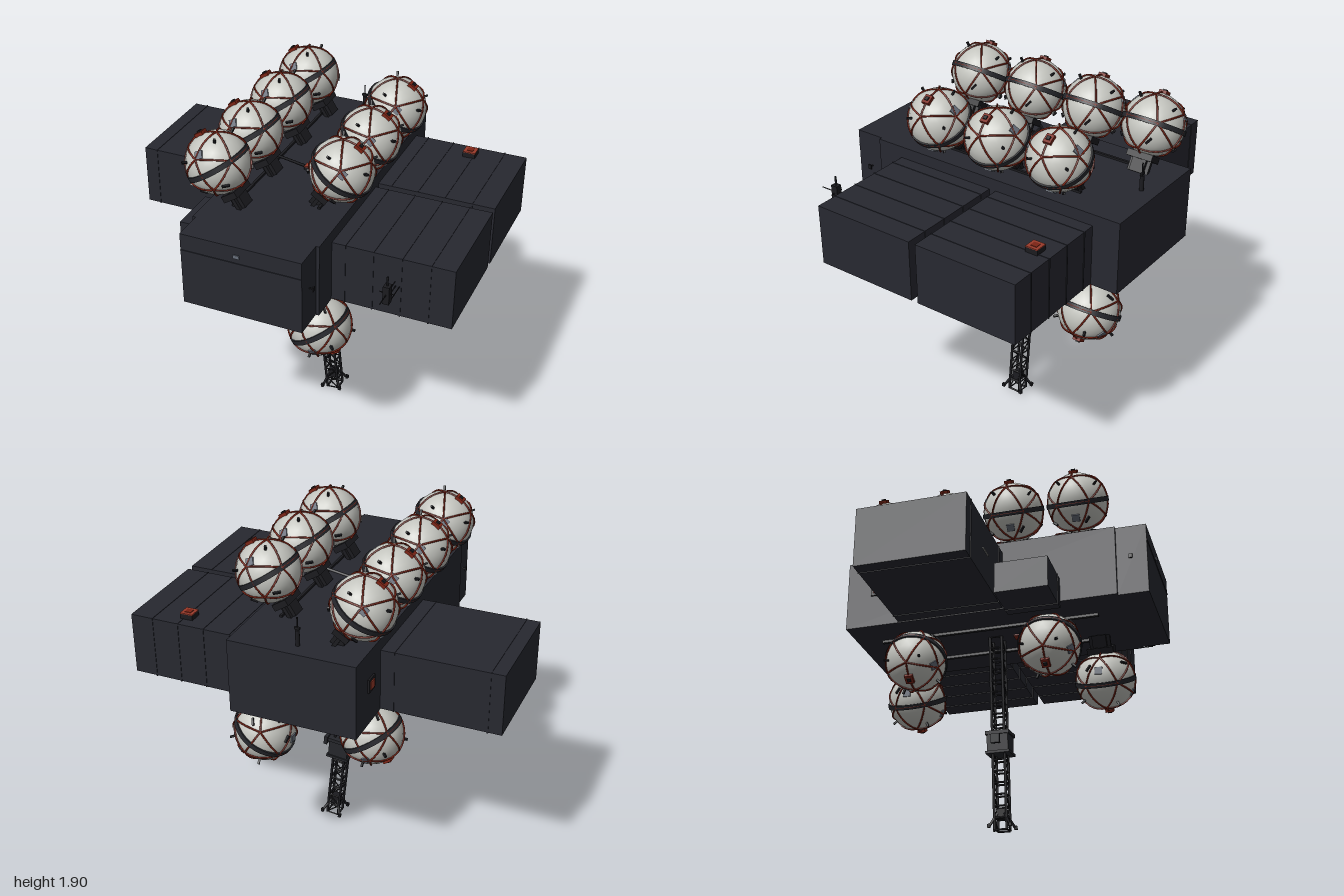
import * as THREE from 'three';
import { mergeGeometries } from 'three/addons/utils/BufferGeometryUtils.js';

const mat = (name, color) => {
  const m = new THREE.MeshStandardMaterial({ color });
  m.name = name;
  return m;
};
const V = (x, y, z) => new THREE.Vector3(x, y, z);

export function createModel() {
  const root = new THREE.Group();
  root.name = 'station';
  const hull = mat('hull charcoal', 0x272830), dark = mat('dark metal', 0x1b1b1f);
  const white = mat('tank white', 0xc4c5bf), rust = mat('rust frame', 0x7c2415);
  const red = mat('hatch red', 0x9a3a2a), band = mat('band', 0x25262b);
  const grey = mat('grey plate', 0x666d79);

  const add = (name, geo, m, parent = root) => {
    const mesh = new THREE.Mesh(geo, m);
    mesh.name = name;
    parent.add(mesh);
    return mesh;
  };
  // box from its six limits
  const span = (x0, x1, y0, y1, z0, z1) =>
    new THREE.BoxGeometry(x1 - x0, y1 - y0, z1 - z0)
      .translate((x0 + x1) / 2, (y0 + y1) / 2, (z0 + z1) / 2);
  const block = (w, h, d, x, y, z) => new THREE.BoxGeometry(w, h, d).translate(x, y, z);
  // straight bar between two points
  const beam = (a, b, r, sides = 5) => {
    const d = b.clone().sub(a);
    const g = new THREE.CylinderGeometry(r, r, d.length(), sides);
    g.applyQuaternion(new THREE.Quaternion().setFromUnitVectors(V(0, 1, 0), d.normalize()));
    return g.translate((a.x + b.x) / 2, (a.y + b.y) / 2, (a.z + b.z) / 2);
  };

  // central hull with a slightly narrower nose
  add('mainHull', span(-0.348, 0.348, 1.105, 1.515, -0.86, 0.68), hull);
  add('noseHull', span(-0.33, 0.33, 1.105, 1.515, 0.68, 0.848), hull);
  add('noseRidge', block(0.66, 0.006, 0.008, 0, 1.42, 0.848), hull);
  add('noseWindow', block(0.035, 0.02, 0.006, -0.02, 1.46, 0.85), grey);

  // cargo modules, with low ridges wrapped around them
  const module = (name, x0, x1, y0, y1, z0, z1, ridges) => {
    add(name, span(x0, x1, y0, y1, z0, z1), hull);
    add(name + 'Ridges', mergeGeometries(ridges.map(x =>
      span(x - 0.003, x + 0.003, y0 - 0.003, y1 + 0.003, z0 - 0.003, z1 + 0.003))), hull);
  };
  module('leftRearModule', 0.345, 0.995, 1.11, 1.45, -0.705, -0.11, [0.42, 0.57, 0.72, 0.87]);
  module('leftFrontModule', 0.345, 0.995, 1.11, 1.45, -0.07, 0.525, [0.42, 0.57, 0.72, 0.87]);
  module('rightModule', -0.995, -0.345, 1.11, 1.45, -0.55, 0.05, [-0.42, -0.92]);
  module('rightSmallModule', -0.61, -0.345, 1.065, 1.24, 0.08, 0.37, [-0.4]);
  add('moduleLabel', block(0.09, 0.006, 0.006, -0.67, 1.28, 0.052), white);
  add('roofHatchBase', block(0.07, 0.03, 0.07, 0.7, 1.463, -0.61), dark);
  add('roofHatch', block(0.07, 0.006, 0.07, 0.7, 1.48, -0.61), red);
  add('roofHatchCore', block(0.035, 0.006, 0.035, 0.7, 1.483, -0.61), rust);
  add('sideHatch', block(0.016, 0.075, 0.075, -0.35, 1.33, -0.68), dark);
  add('sideHatchCore', block(0.026, 0.045, 0.045, -0.35, 1.33, -0.68), red);
  add('gapMarker', block(0.012, 0.012, 0.03, 0.35, 1.312, -0.09), red);

  // roof and belly rails, cross arms and nose sensors
  const frame = [block(0.014, 0.014, 1.2, -0.205, 1.52, -0.09), block(0.014, 0.014, 0.9, 0.205, 1.52, -0.09),
    block(0.08, 0.03, 0.2, -0.1, 1.08, 0.2), block(0.06, 0.02, 0.04, 0, 1.522, 0)];
  for (const s of [-1, 1]) {
    frame.push(block(0.02, 0.016, 1.25, s * 0.15, 1.098, -0.09));
    frame.push(beam(V(0, 1.522, 0), V(s * 0.2, 1.555, 0), 0.008));
    frame.push(beam(V(s * 0.32, 1.32, 0.76), V(s * 0.355, 1.32, 0.76), 0.004));
    frame.push(block(0.008, 0.025, 0.02, s * 0.352, 1.32, 0.76));
  }
  add('tankRails', mergeGeometries(frame), dark);
  add('roofMarker', block(0.06, 0.005, 0.04, 0, 1.534, 0), red);
  add('bellyMarker', block(0.06, 0.01, 0.04, 0, 1.102, 0.04), rust);
  add('roofAntenna', mergeGeometries([
    beam(V(0, 1.51, -0.77), V(0, 1.6, -0.77), 0.012, 8),
    beam(V(0, 1.6, -0.77), V(0, 1.67, -0.77), 0.004),
    block(0.03, 0.012, 0.012, 0, 1.61, -0.77)]), dark);

  // aerial in front of the left module
  add('sideAerial', mergeGeometries([
    beam(V(0.692, 1.285, 0.52), V(0.692, 1.285, 0.69), 0.003),
    beam(V(0.712, 1.285, 0.52), V(0.712, 1.285, 0.69), 0.003),
    block(0.034, 0.1, 0.04, 0.705, 1.34, 0.68),
    beam(V(0.705, 1.28, 0.68), V(0.705, 1.44, 0.68), 0.006),
    beam(V(0.705, 1.345, 0.57), V(0.705, 1.345, 0.78), 0.003),
    beam(V(0.665, 1.345, 0.68), V(0.745, 1.345, 0.68), 0.003)]), dark);

  // shared parts of one spherical tank; local +y points away from the hull
  const R = 0.167;
  const edges = new THREE.EdgesGeometry(new THREE.IcosahedronGeometry(1, 0)).attributes.position;
  const ribs = [];
  for (let i = 0; i < edges.count; i += 2) {
    const [a, b] = [i, i + 1].map(k => new THREE.Vector3().fromBufferAttribute(edges, k));
    const pts = [0, 0.25, 0.5, 0.75, 1].map(t => a.clone().lerp(b, t).setLength(R + 0.003));
    ribs.push(new THREE.TubeGeometry(new THREE.CatmullRomCurve3(pts), 6, 0.005, 5));
  }
  const onBall = (geo, lat, lon, lift = 0) => {
    const d = V(Math.cos(lat) * Math.cos(lon), Math.sin(lat), Math.cos(lat) * Math.sin(lon));
    geo.applyQuaternion(new THREE.Quaternion().setFromUnitVectors(V(0, 1, 0), d));
    return geo.translate(...d.multiplyScalar(R + lift).toArray());
  };
  const box = (w, h, d) => new THREE.BoxGeometry(w, h, d);
  const fittings = [block(0.02, 0.03, 0.02, 0, R + 0.006, 0)];
  for (let i = 0; i < 4; i++) {
    const lon = 0.6 + i * Math.PI / 2;
    fittings.push(onBall(box(0.011, 0.04, 0.011), 0.75 - 0.2 * (i % 2), lon, 0.006));
    fittings.push(onBall(box(0.04, 0.012, 0.01), -0.6, lon + 0.5, 0.006));
  }
  const plates = [[0.65, 1.4], [0.5, 4.6], [-0.5, 3.1]]
    .map(([lat, lon]) => onBall(box(0.042, 0.008, 0.042), lat, lon));
  const parts = [
    ['tankShell', new THREE.IcosahedronGeometry(R, 4), white],
    ['tankRibs', mergeGeometries(ribs), rust],
    ['tankBand', new THREE.CylinderGeometry(R + 0.007, R + 0.007, 0.027, 32), band],
    ['tankFittings', mergeGeometries(fittings), dark],
    ['tankPlates', mergeGeometries(plates), grey],
    ['tankHatch', block(0.05, 0.02, 0.045, 0, R + 0.004, 0), rust],
    ['tankMount', mergeGeometries([
      block(0.09, 0.035, 0.15, 0, -R - 0.008, 0), block(0.06, 0.1, 0.08, 0, -R - 0.046, 0),
      block(0.02, 0.12, 0.02, 0, -R - 0.046, 0.05), block(0.02, 0.12, 0.02, 0, -R - 0.046, -0.05)]), dark],
  ];
  const tank = (name, x, y, z, angle, spin) => {
    const g = new THREE.Group();
    g.name = name;
    g.position.set(x, y, z);
    g.rotation.set(0, spin, angle, 'ZYX');
    for (const [n, geo, m] of parts) add(n, geo, m, g);
    root.add(g);
  };
  // half turns keep the mounts lined up with the rails
  const tilt = 0.57;
  for (const z of [-0.65, -0.28, 0.1, 0.47]) tank('upperRightTank', -0.302, 1.73, z, tilt, 0);
  for (const z of [-0.47, -0.09, 0.285]) tank('upperLeftTank', 0.3, 1.73, z, -tilt, Math.PI);
  for (const z of [-0.465, 0.29]) tank('lowerRightTank', -0.27, 0.892, z, Math.PI - tilt, 0);
  for (const z of [-0.65, 0.48]) tank('lowerLeftTank', 0.265, 0.892, z, tilt - Math.PI, Math.PI);

  // lattice mast, built hanging down local y and leaned towards +x
  const mast = new THREE.Group();
  mast.name = 'mast';
  mast.position.set(0.008, 1.11, -0.085);
  mast.rotation.z = 0.105;
  root.add(mast);
  const L = 1.1, w = 0.034, bays = 17, lattice = [];
  for (const x of [-w, w]) for (const z of [-w, w])
    lattice.push(beam(V(x, 0.01, z), V(x, -L, z), 0.008));
  for (let i = 0; i <= bays; i++) {
    const y = -L * i / bays, y2 = y - L / bays;
    for (const s of [-w, w]) {
      lattice.push(beam(V(s, y, -w), V(s, y, w), 0.006), beam(V(-w, y, s), V(w, y, s), 0.004));
      const k = i % 2 ? w : -w;
      if (i < bays) lattice.push(beam(V(k, y, s), V(-k, y2, s), 0.004));
    }
  }
  add('mastLattice', mergeGeometries(lattice), dark, mast);
  add('mastCabin', mergeGeometries([
    block(0.115, 0.12, 0.12, 0, -0.62, 0), block(0.13, 0.02, 0.135, 0, -0.565, 0),
    block(0.13, 0.015, 0.135, 0, -0.675, 0), block(0.21, 0.025, 0.03, 0, -0.61, 0),
    block(0.02, 0.05, 0.05, 0.095, -0.61, 0), block(0.02, 0.05, 0.05, -0.095, -0.61, 0)]), band, mast);

  // splayed claws at the foot of the mast
  const claws = [block(0.05, 0.05, 0.05, 0, -1.01, 0)];
  for (const x of [-1, 1]) for (const z of [-1, 1])
    claws.push(beam(V(x * 0.02, -1.01, z * 0.02), V(x * 0.055, -1.085, z * 0.06), 0.008),
      block(0.016, 0.02, 0.016, x * 0.055, -1.08, z * 0.06));
  add('mastClaws', mergeGeometries(claws), dark, mast);
  return root;
}
